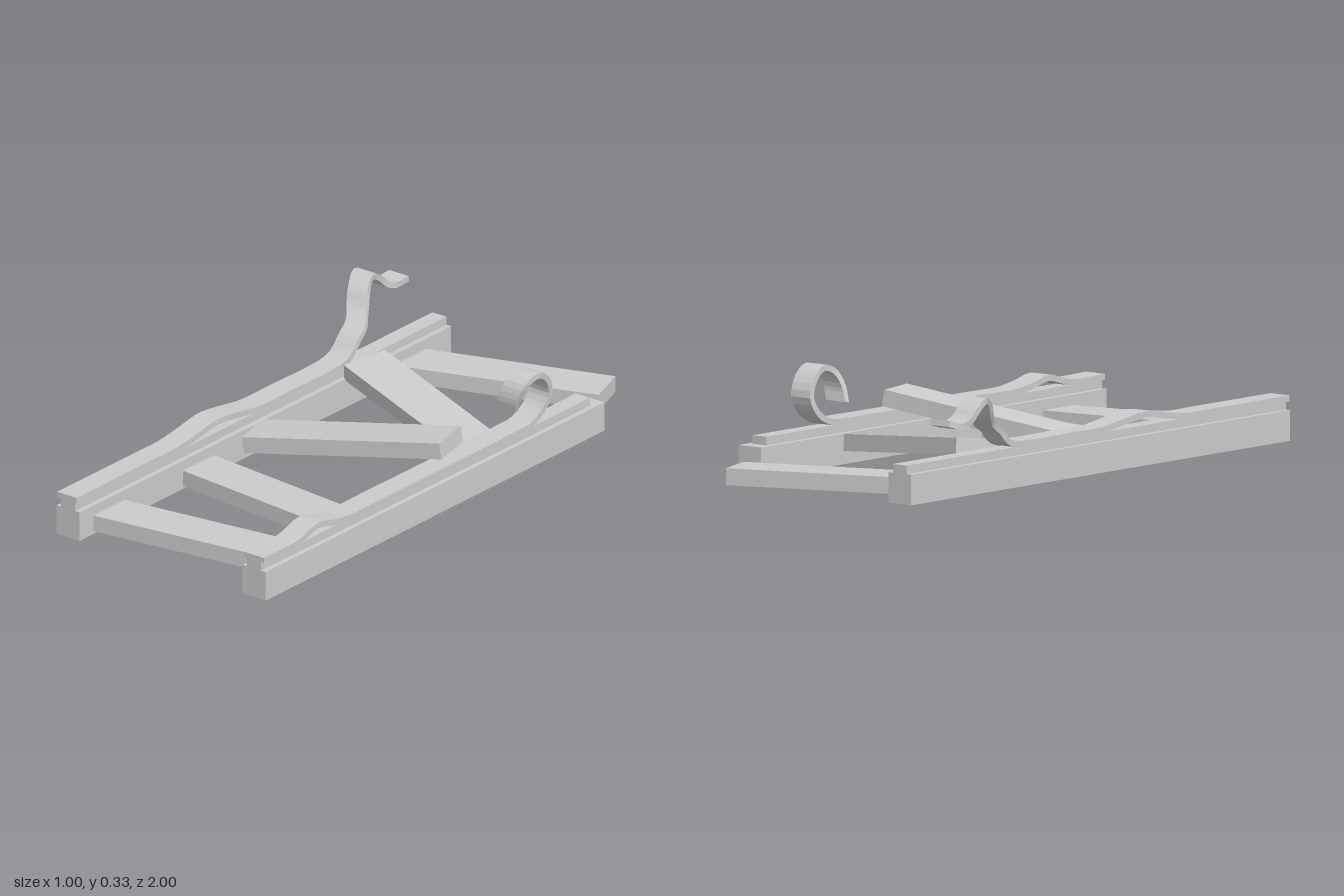
import * as THREE from 'three';

const material = new THREE.MeshStandardMaterial({ color: 0xcccccc, flatShading: true, side: THREE.DoubleSide });

function addBox(parent, name, size, position) {
  const mesh = new THREE.Mesh(new THREE.BoxGeometry(...size), material);
  mesh.name = name;
  mesh.position.set(...position);
  parent.add(mesh);
  return mesh;
}

// Flat metal strap swept along a path, its width always lying along x
function strapGeometry(points, width, thickness) {
  const curve = new THREE.CatmullRomCurve3(points.map((p) => new THREE.Vector3(...p)));
  const steps = (points.length - 1) * 3;
  const positions = [];
  const index = [];
  for (let i = 0; i <= steps; i++) {
    const p = curve.getPoint(i / steps);
    const t = curve.getTangent(i / steps);
    const len = Math.hypot(t.y, t.z);
    const ny = (-t.z / len) * thickness / 2;
    const nz = (t.y / len) * thickness / 2;
    for (const [sx, sn] of [[-1, -1], [1, -1], [1, 1], [-1, 1]]) {
      positions.push(p.x + sx * width / 2, p.y + sn * ny, p.z + sn * nz);
    }
    if (i === steps) continue;
    for (let k = 0; k < 4; k++) {
      const a = i * 4 + k;
      const b = i * 4 + (k + 1) % 4;
      index.push(a, a + 4, b, b, a + 4, b + 4);
    }
  }
  const e = steps * 4;
  index.push(0, 1, 2, 0, 2, 3, e, e + 2, e + 1, e, e + 3, e + 2);
  const geometry = new THREE.BufferGeometry();
  geometry.setAttribute('position', new THREE.Float32BufferAttribute(positions, 3));
  geometry.setIndex(index);
  const flat = geometry.toNonIndexed();
  flat.computeVertexNormals();
  return flat;
}

// One side of the track: heavy beam, narrow web and a loose strap on top
function makeRail(name, x, beamEnd, webEnd, webX, strapPath) {
  const rail = new THREE.Group();
  rail.name = name;
  addBox(rail, 'beam', [0.095, 0.1, 1 - beamEnd], [x, 0.05, (1 + beamEnd) / 2]);
  addBox(rail, 'web', [0.058, 0.03, 1 - webEnd], [webX, 0.113, (1 + webEnd) / 2]);
  const strap = new THREE.Mesh(strapGeometry(strapPath, 0.08, 0.02), material);
  strap.name = 'strap';
  rail.add(strap);
  return rail;
}

export function createModel() {
  const model = new THREE.Group();
  model.name = 'brokenTrack';

  // Left rail: hump near the front, strap curling into a loop at the back
  const l = 0.437;
  model.add(makeRail('leftRail', l, -0.75, -0.7, l, [
    [l, 0.138, 1], [l, 0.138, 0.84], [l, 0.148, 0.79], [l, 0.166, 0.72], [l, 0.15, 0.64],
    [l, 0.138, 0.56], [l, 0.138, 0.4], [l, 0.138, -0.3], [l, 0.142, -0.38], [0.438, 0.175, -0.445],
    [0.443, 0.23, -0.475], [0.45, 0.288, -0.448], [0.457, 0.318, -0.392], [0.452, 0.297, -0.34],
    [0.435, 0.25, -0.322], [0.418, 0.203, -0.328],
  ]));

  // Right rail: long hump mid-way, strap waving up and outward at the back
  const r = -0.337;
  model.add(makeRail('rightRail', -0.332, -0.92, -0.92, -0.332, [
    [r, 0.138, 1], [r, 0.138, 0.6], [r, 0.138, 0.48], [r, 0.15, 0.38], [r, 0.166, 0.27],
    [r, 0.152, 0.15], [r, 0.138, 0.05], [r, 0.138, -0.1], [r, 0.138, -0.34], [-0.342, 0.15, -0.42],
    [-0.347, 0.195, -0.475], [-0.36, 0.22, -0.525], [-0.395, 0.255, -0.575], [-0.42, 0.3, -0.615],
    [-0.448, 0.322, -0.67], [-0.46, 0.302, -0.72], [-0.46, 0.267, -0.76], [-0.45, 0.253, -0.795],
    [-0.435, 0.265, -0.84],
  ]));

  // Cross ties: [length, position, yaw, pitch, roll]; the middle two have come loose
  const ties = [
    [0.76, [0.053, 0.0375, 0.803], 0.133, 0, 0],
    [0.76, [0.053, 0.0375, 0.418], -0.094, 0, 0],
    [0.715, [0.084, 0.134, 0.051], 0.227, 0.156, 0],
    [0.668, [0.05, 0.096, -0.353], -0.3, -0.1, 0.1],
    [0.73, [0.012, 0.0375, -0.805], 0.33, 0, 0],
  ];
  ties.forEach(([length, position, yaw, pitch, roll], i) => {
    const tie = addBox(model, `crossTie${i + 1}`, [length, 0.055, 0.16], position);
    tie.rotation.set(roll, yaw, pitch, 'YZX');
  });

  return model;
}
